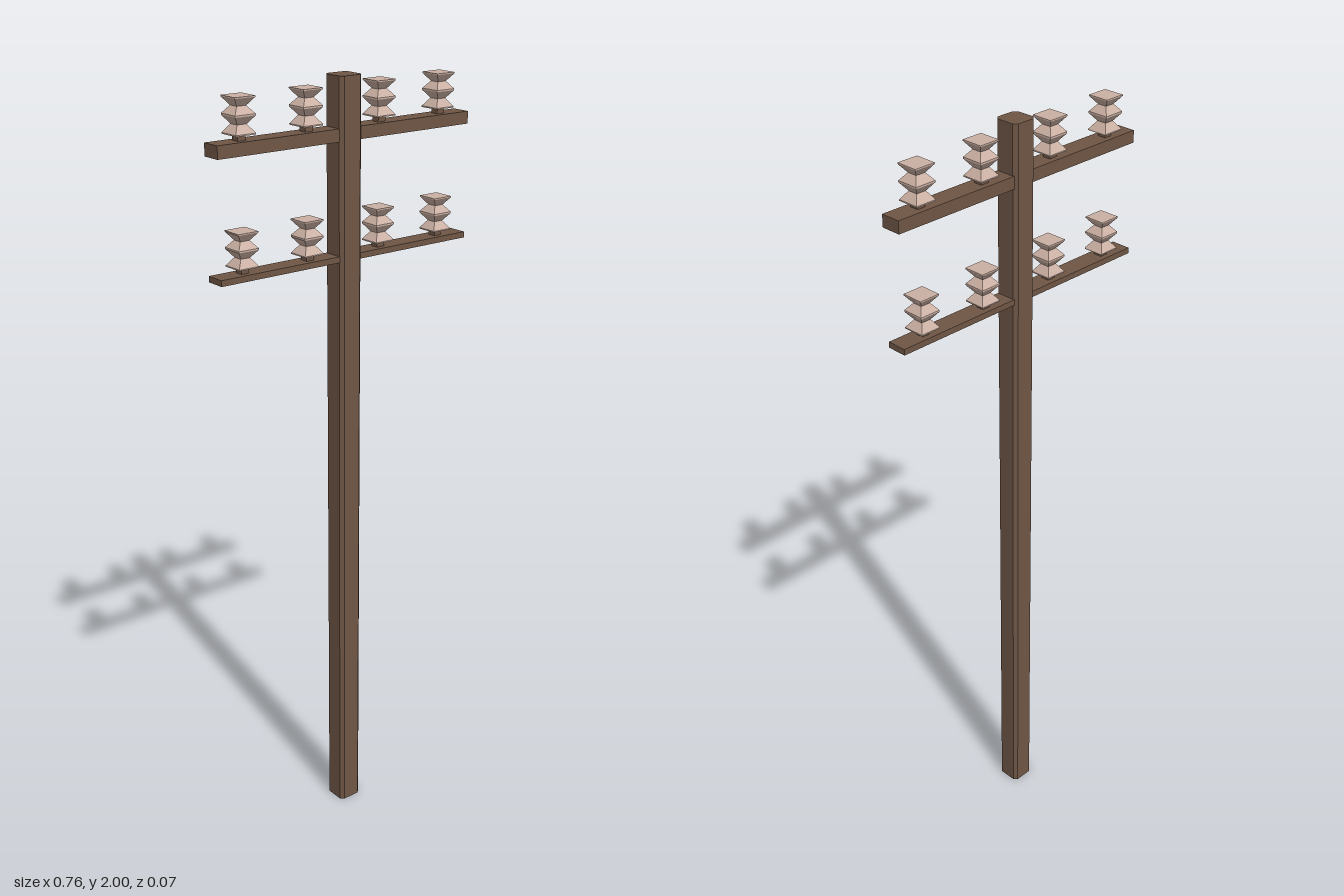
import * as THREE from 'three';

const wood = new THREE.MeshStandardMaterial({ color: 0x6f5645, flatShading: true });
wood.name = 'brown wood';
const ceramic = new THREE.MeshStandardMaterial({ color: 0xcbb0a3, flatShading: true });
ceramic.name = 'pale ceramic';

function add(parent, name, geometry, material, x = 0, y = 0, z = 0) {
  const mesh = new THREE.Mesh(geometry, material);
  mesh.name = name;
  mesh.position.set(x, y, z);
  parent.add(mesh);
  return mesh;
}

// Square post with chamfered corners
function poleGeometry(half, chamfer, height) {
  const c = half - chamfer;
  const outline = [[half, -c], [half, c], [c, half], [-c, half],
    [-half, c], [-half, -c], [-c, -half], [c, -half]];
  const shape = new THREE.Shape(outline.map(([x, y]) => new THREE.Vector2(x, y)));
  const geometry = new THREE.ExtrudeGeometry(shape, { depth: height, bevelEnabled: false });
  return geometry.rotateX(-Math.PI / 2);
}

// Four-sided insulator: flared foot, middle skirt and flat flared cap
function insulatorGeometry() {
  const profile = [[0, 0], [0.028, 0], [0.028, 0.003], [0.013, 0.023], [0.028, 0.042],
    [0.028, 0.046], [0.013, 0.064], [0.028, 0.083], [0.028, 0.086], [0, 0.086]];
  const points = profile.map(([half, y]) => new THREE.Vector2(half * Math.SQRT2, y));
  return new THREE.LatheGeometry(points, 4, Math.PI / 4);
}

export function createModel() {
  const model = new THREE.Group();
  model.name = 'utilityPole';

  add(model, 'pole', poleGeometry(0.033, 0.009, 2), wood);

  const insulator = insulatorGeometry();
  const peg = new THREE.BoxGeometry(0.022, 0.02, 0.022);

  // Two crossarms, each carrying four insulators on pegs
  const arms = [
    { name: 'upper', bottom: 1.848, top: 1.879 },
    { name: 'lower', bottom: 1.557, top: 1.572 },
  ];
  for (const { name, bottom, top } of arms) {
    const arm = new THREE.Group();
    arm.name = name + 'CrossarmAssembly';
    model.add(arm);
    add(arm, name + 'Crossarm', new THREE.BoxGeometry(0.756, top - bottom, 0.052), wood,
      0, (top + bottom) / 2, -0.001);
    for (const x of [-0.301, -0.111, 0.109, 0.299]) {
      add(arm, 'insulatorPeg', peg, wood, x, top + 0.007, -0.001);
      add(arm, 'insulator', insulator, ceramic, x, top + 0.014, -0.001);
    }
  }
  return model;
}
